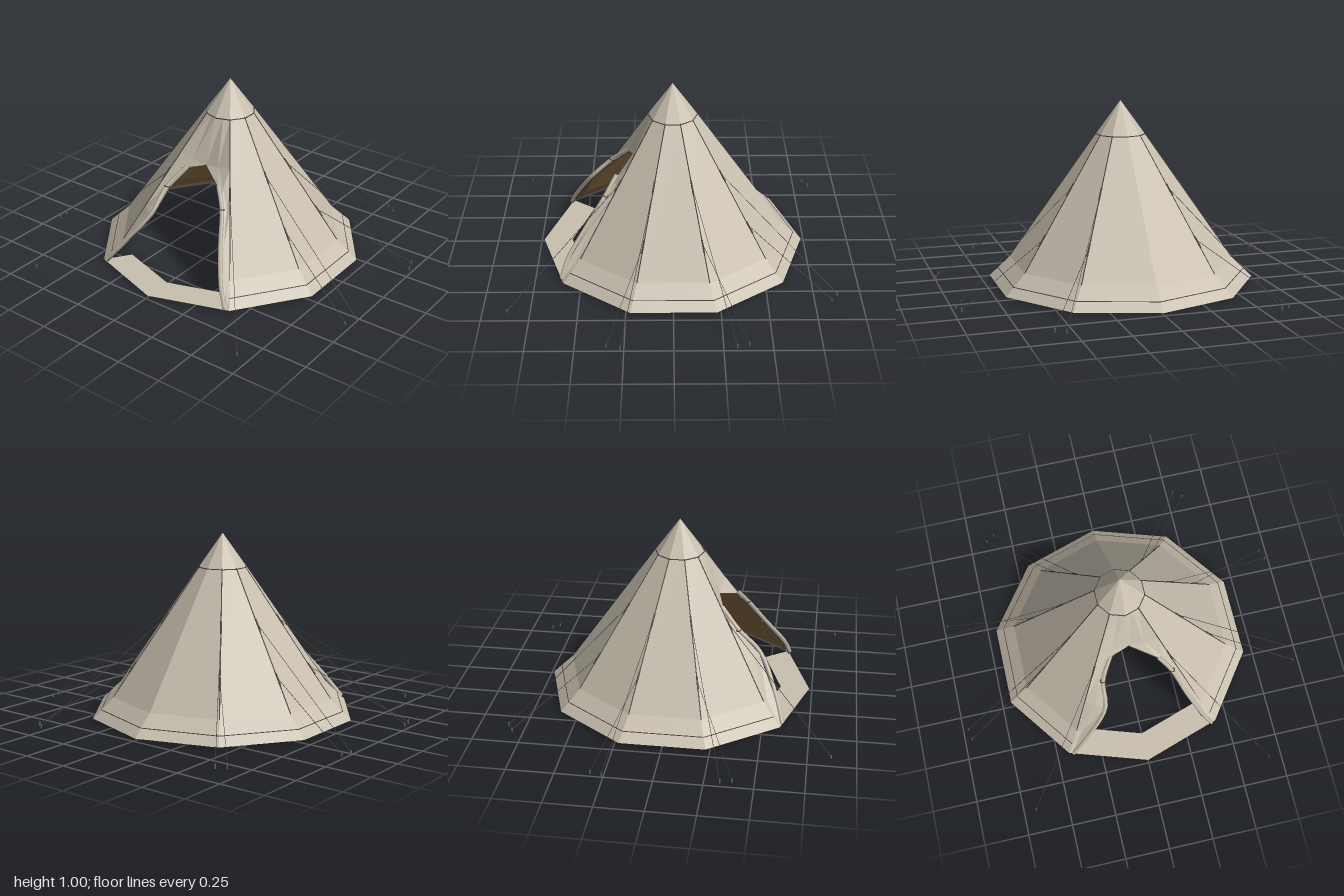
import * as THREE from 'three';

const V = (x, y, z) => new THREE.Vector3(x, y, z);
const material = (name, color, side = THREE.FrontSide) => {
  const m = new THREE.MeshStandardMaterial({ color, side });
  m.name = name;
  return m;
};

// Canvas profile, bottom to top: [radius, height]
const PROFILE = [[0.735, 0.01], [0.62, 0.12], [0.13, 0.82], [0, 1]];

// Point on ridge k (0 = front centre, counted towards +x) at height y
function ridge(k, y, out = 0) {
  let i = 0;
  while (i < PROFILE.length - 2 && y > PROFILE[i + 1][1]) i++;
  const [r0, y0] = PROFILE[i], [r1, y1] = PROFILE[i + 1];
  const r = Math.max(0, r0 + (r1 - r0) * (y - y0) / (y1 - y0) + out);
  const a = k * Math.PI / 5;
  return V(r * Math.sin(a), y, r * Math.cos(a));
}

// Faceted sheet from rows of points: rows run upwards, columns to the right
function sheet(rows, flip = false) {
  const p = [];
  const tri = (a, b, c) => (flip ? [a, c, b] : [a, b, c]).forEach(v => p.push(v.x, v.y, v.z));
  for (let r = 0; r < rows.length - 1; r++) {
    for (let c = 0; c < rows[r].length - 1; c++) {
      const bl = rows[r][c], br = rows[r][c + 1], tl = rows[r + 1][c], tr = rows[r + 1][c + 1];
      tri(bl, br, tr);
      tri(bl, tr, tl);
    }
  }
  const g = new THREE.BufferGeometry();
  g.setAttribute('position', new THREE.Float32BufferAttribute(p, 3));
  g.computeVertexNormals();
  return g;
}

export function createModel() {
  const model = new THREE.Group();
  model.name = 'bellTent';
  const canvas = material('canvas', 0xc8bfaf);
  const canvasBoth = material('groundCanvas', 0xc8bfaf, THREE.DoubleSide);
  const lining = material('lining', 0x84673f);
  const hemMat = material('innerHem', 0x9a8c82);
  const dark = material('seam', 0x4a463e);
  const steel = material('steel', 0x666a72);

  const add = (name, geometry, mat, parent = model) => {
    const m = new THREE.Mesh(geometry, mat);
    m.name = name;
    parent.add(m);
    return m;
  };
  const bar = (name, a, b, r, mat, parent, sides = 5) => {
    const d = b.clone().sub(a);
    const m = add(name, new THREE.CylinderGeometry(r, r, d.length(), sides), mat, parent);
    m.position.copy(a).addScaledVector(d, 0.5);
    m.quaternion.setFromUnitVectors(V(0, 1, 0), d.normalize());
  };
  const group = name => {
    const g = new THREE.Group();
    g.name = name;
    model.add(g);
    return g;
  };
  const ringRows = (heights, k0, k1, out = 0) => heights.map(y => {
    const row = [];
    for (let k = k0; k <= k1; k++) row.push(ridge(k, y, out));
    return row;
  });

  // Eight closed wall panels, leaving the two front ones for the door
  const wallHeights = [0.01, 0.12, 0.82];
  add('wall', sheet(ringRows(wallHeights, 1, 9)), canvas);
  add('wallLining', sheet(ringRows(wallHeights, 1, 9, -0.006), true), lining);
  for (const k of [1, 6]) {
    add('innerHem', sheet(ringRows([0.01, 0.05], k, k + 3, -0.009), true), hemMat);
  }

  // Peak cap over all ten panels
  add('cap', sheet(ringRows([0.82, 1], 0, 10)), canvas);
  add('capLining', sheet(ringRows([0.82, 0.99], 0, 10, -0.006), true), lining);

  // Door flaps: [ridge height, x, y, z of the free edge], bottom to top
  const edges = {
    left: [[0.01, 0.40, 0.01, 0.60], [0.10, 0.35, 0.10, 0.57], [0.27, 0.27, 0.27, 0.46],
      [0.42, 0.20, 0.42, 0.36], [0.51, 0.14, 0.51, 0.30], [0.60, 0, 0.57, 0.22], [0.82, 0, 0.82, 0.13]],
    right: [[0.01, 0.40, 0.01, 0.60], [0.12, 0.31, 0.12, 0.56], [0.31, 0.18, 0.31, 0.46],
      [0.43, 0.16, 0.43, 0.34], [0.53, 0.10, 0.53, 0.24], [0.60, 0, 0.57, 0.22], [0.82, 0, 0.82, 0.13]],
  };
  for (const [side, edge] of Object.entries(edges)) {
    const s = side === 'left' ? 1 : -1;
    const rows = edge.map(([h, x, y, z], i) => {
      const a = V(s * x, y, z), b = ridge(s, h);
      const fold = a.clone().lerp(b, 0.5);
      if (i > 0 && i < edge.length - 2) fold.z += i % 2 ? -0.015 : 0.008;
      return s > 0 ? [a, fold, b] : [b, fold, a];
    });
    add(side + 'DoorFlap', sheet(rows), canvas);
    const inside = rows.map(row => row.map(v => v.clone().add(V(0, 0, -0.006))));
    add(side + 'DoorLining', sheet(inside, true), lining);

    // Tied-back cloth gathered along the free edge
    const path = edge.slice(0, 5).map(([, x, y, z], i) =>
      V(s * (x + (i % 2 ? 0.012 : 0.006)), y + 0.012, z + 0.004));
    add(side + 'GatheredCloth',
      new THREE.TubeGeometry(new THREE.CatmullRomCurve3(path), 16, 0.012, 5), canvas);
    for (let i = 0; i < edge.length - 2; i++) {
      const [, x0, y0, z0] = edge[i], [, x1, y1, z1] = edge[i + 1];
      bar(side + 'DoorBinding', V(s * x0, y0, z0), V(s * x1, y1, z1), 0.003, dark);
    }
    const tie = add(side + 'DoorTie', new THREE.TorusGeometry(0.015, 0.003, 5, 10), dark);
    tie.position.copy(path[3]);
    tie.rotation.x = Math.PI / 2.6;
  }

  // Flat ground strip across the doorway
  const strip = r => [-1, 0, 1].map(k => V(r * Math.sin(k * Math.PI / 5), 0.01, r * Math.cos(k * Math.PI / 5)));
  add('doorSill', sheet([strip(0.735), strip(0.575)]), canvasBoth);

  // Stitched seams along ridges, cap rim and hem
  const seams = group('seams');
  for (let k = 1; k <= 9; k++) {
    if (k !== 5) bar('ridgeSeam', ridge(k, 0.12), ridge(k, 0.82), 0.003, dark, seams);
    if (k < 9) bar('hemSeam', ridge(k, 0.055), ridge(k + 1, 0.055), 0.0025, dark, seams);
  }
  for (let k = 0; k < 10; k++) {
    bar('capSeam', ridge(k, 0.815), ridge(k + 1, 0.815), 0.003, dark, seams);
  }

  // Centre pole
  bar('centrePole', V(0, 0, 0), V(0, 0.98, 0), 0.006, steel, model, 10);

  // Guy lines: [ridge, anchor height, peg x, peg z]
  const lines = [
    [1, 0.50, 0.68, 0.87], [9, 0.50, -0.68, 0.87],
    [2, 0.55, 0.995, 0.27], [2, 0.29, 0.97, 0.34],
    [8, 0.55, -0.97, 0.33], [8, 0.29, -0.96, 0.39],
    [3, 0.55, 0.98, -0.32], [3, 0.29, 0.96, -0.38],
    [7, 0.55, -0.995, -0.26], [7, 0.29, -0.98, -0.32],
    [4, 0.55, 0.54, -0.875], [4, 0.29, 0.59, -0.84],
    [6, 0.55, -0.60, -0.84], [6, 0.29, -0.65, -0.81],
  ];
  const guys = group('guyLines');
  for (const [k, h, x, z] of lines) {
    const peg = V(x, 0.012, z);
    bar('guyLine', ridge(k, h), peg, 0.0016, dark, guys, 4);
    bar('anchorTab', ridge(k, h - 0.04, 0.003), ridge(k, h + 0.02, 0.003), 0.005, dark, guys);
    bar('peg', V(x, 0, z), V(x, 0.022, z), 0.004, steel, guys);
  }
  return model;
}
